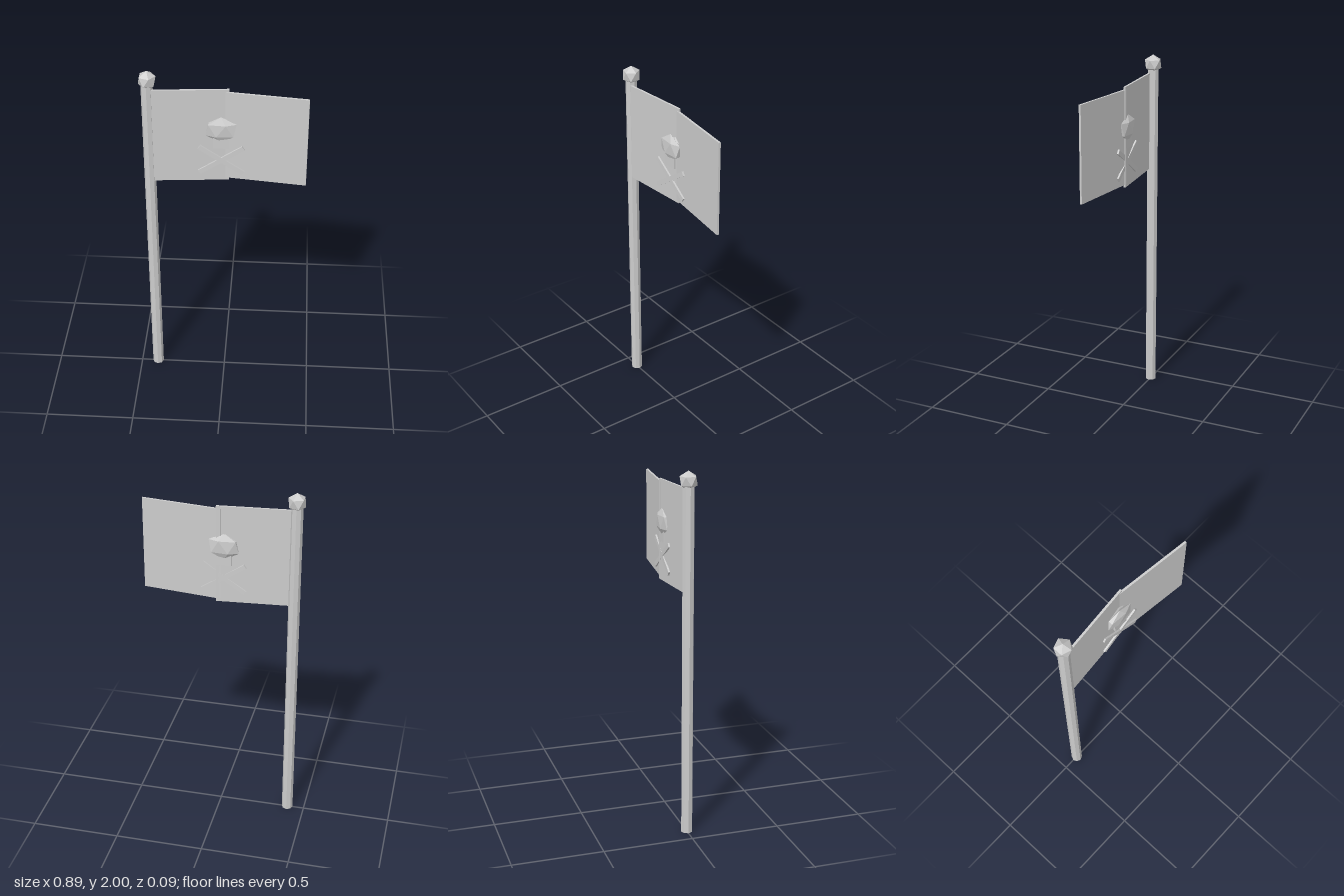
import * as THREE from 'three';

export function createModel() {
  const group = new THREE.Group();
  const grey = new THREE.MeshStandardMaterial({ color: 0xcccccc, flatShading: true });
  grey.name = 'plain grey';

  function add(name, geometry, x, y, z, parent = group) {
    const mesh = new THREE.Mesh(geometry, grey);
    mesh.name = name;
    mesh.position.set(x, y, z);
    parent.add(mesh);
    return mesh;
  }

  // Twenty-sided ball standing on a corner, with an upper corner towards +x
  function facetedBall(rx, ry, rz) {
    const points = [0, 1, 0];
    for (const side of [1, -1]) {
      for (let i = 0; i < 5; i++) {
        const a = (i * 2 * Math.PI) / 5 + (side < 0 ? Math.PI / 5 : 0);
        points.push(0.8944 * Math.cos(a), side * 0.4472, -0.8944 * Math.sin(a));
      }
    }
    points.push(0, -1, 0);
    const faces = [];
    for (let i = 0; i < 5; i++) {
      const n = (i + 1) % 5;
      const u = 1 + i, un = 1 + n, l = 6 + i, ln = 6 + n;
      faces.push(0, u, un, u, l, un, un, l, ln, l, 11, ln);
    }
    const ball = new THREE.PolyhedronGeometry(points, faces, 1, 0);
    ball.scale(rx, ry, rz);
    return ball;
  }

  // Pole and its knob
  add('pole', new THREE.CylinderGeometry(0.032, 0.032, 1.93, 8), -0.402, 0.965, 0);
  add('poleKnob', facetedBall(0.052, 0.052, 0.052), -0.4, 1.948, 0);

  // Flag panel running between two points seen from above
  function panel(name, x0, z0, x1, z1, bottom, top) {
    const length = Math.hypot(x1 - x0, z1 - z0);
    const mesh = add(name, new THREE.BoxGeometry(length, top - bottom, 0.012),
      (x0 + x1) / 2, (bottom + top) / 2, (z0 + z1) / 2);
    mesh.rotation.y = -Math.atan2(z1 - z0, x1 - x0);
  }
  panel('innerFlagPanel', -0.4, 0.017, 0.025, -0.018, 1.34, 1.897);
  panel('outerFlagPanel', 0.0, -0.017, 0.441, 0.038, 1.355, 1.881);

  // Skull and crossed bones on both faces of the flag
  for (const [label, boneZ, skullZ] of [['front', 0.014, 0.011], ['back', -0.018, -0.018]]) {
    const emblem = new THREE.Group();
    emblem.name = label + 'Emblem';
    group.add(emblem);
    add('skull', facetedBall(0.092, 0.078, 0.024), -0.017, 1.667, skullZ, emblem);
    add('jaw', new THREE.BoxGeometry(0.084, 0.08, 0.012), -0.017, 1.597, boneZ, emblem);
    for (const side of [1, -1]) {
      const bone = add('bone', new THREE.BoxGeometry(0.285, 0.026, 0.01), -0.016, 1.481, boneZ, emblem);
      bone.rotation.z = side * 0.59;
    }
  }
  return group;
}
